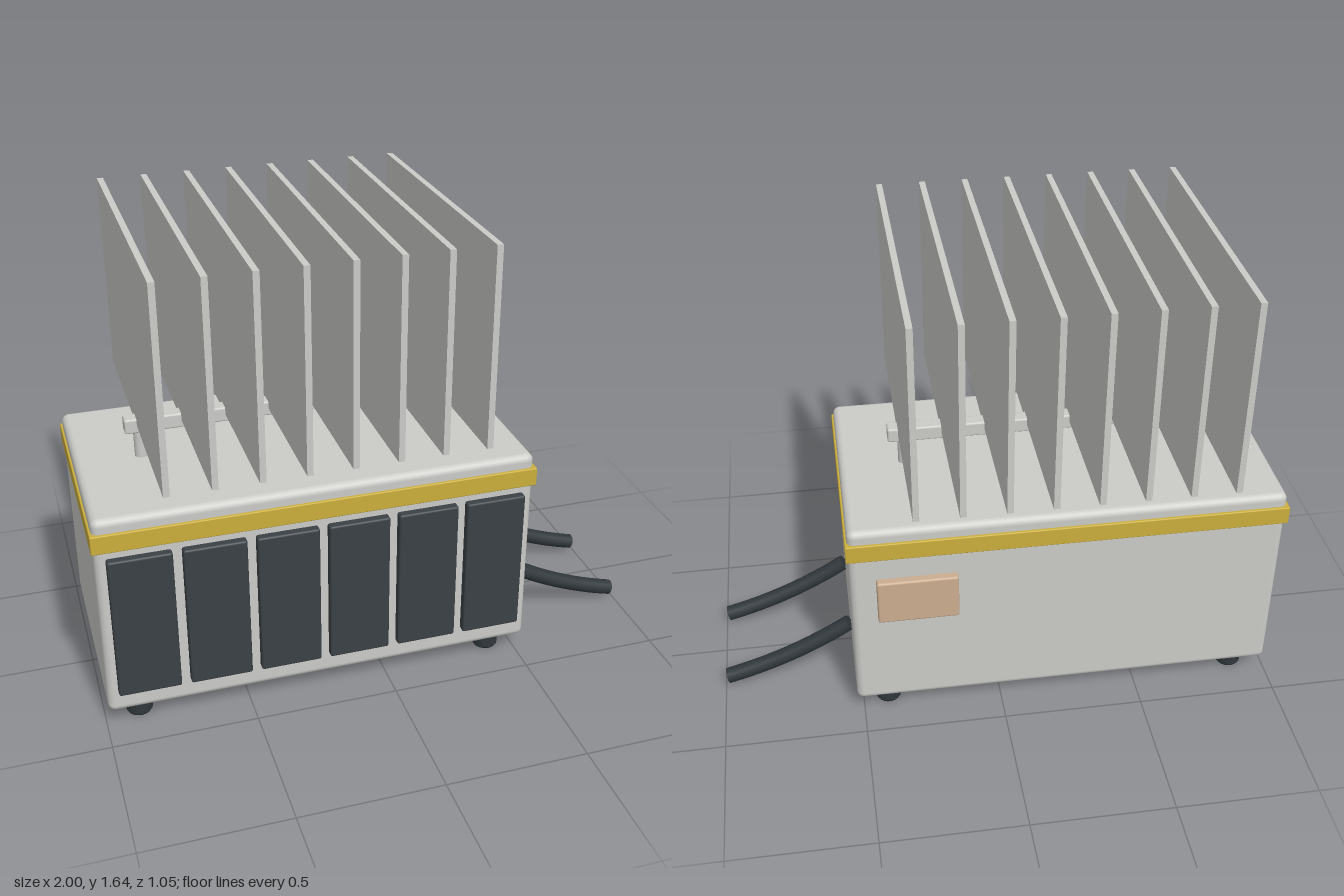
import * as THREE from 'three';
import { RoundedBoxGeometry } from 'three/addons/geometries/RoundedBoxGeometry.js';

const material = (name, color) => {
  const m = new THREE.MeshStandardMaterial({ color });
  m.name = name;
  return m;
};

export function createModel() {
  const grey = material('light grey', 0xcbcbc8);
  const gold = material('gold', 0xcbae3c);
  const charcoal = material('charcoal', 0x3b4145);
  const black = material('dark rubber', 0x30373b);
  const tan = material('tan', 0xcbad90);

  const model = new THREE.Group();
  model.name = 'transformer';

  const add = (name, geometry, mat, x = 0, y = 0, z = 0) => {
    const mesh = new THREE.Mesh(geometry, mat);
    mesh.name = name;
    mesh.position.set(x, y, z);
    model.add(mesh);
    return mesh;
  };
  const rounded = (w, h, d, r) => new RoundedBoxGeometry(w, h, d, 3, r);

  // Cabinet and the band around it
  const cx = -0.2335;
  add('cabinet', rounded(1.515, 0.75, 0.81, 0.025), grey, cx, 0.44, 0);
  add('band', rounded(1.53, 0.067, 0.83, 0.004), gold, cx, 0.734, 0);

  // Six front panels
  const panel = rounded(0.213, 0.528, 0.04, 0.008);
  for (let i = 0; i < 6; i++) {
    add(`frontPanel${i + 1}`, panel, charcoal, -0.848 + i * 0.2455, 0.411, 0.413);
  }

  // Plate on the back
  add('backPlate', rounded(0.28, 0.172, 0.04, 0.008), tan, 0.294, 0.529, -0.414);

  // Feet with a small bevel at the bottom
  const foot = new THREE.CylinderGeometry(0.046, 0.046, 0.062, 24);
  const toe = new THREE.CylinderGeometry(0.046, 0.041, 0.008, 24);
  for (const x of [-0.88, 0.408]) {
    for (const z of [-0.322, 0.322]) {
      add('foot', foot, black, x, 0.039, z);
      add('footBevel', toe, black, x, 0.004, z);
    }
  }

  // Rail on two posts
  const post = new THREE.CylinderGeometry(0.022, 0.022, 0.12, 24);
  for (const x of [-0.763, 0.291]) add('post', post, grey, x, 0.86, 0);
  add('rail', rounded(1.163, 0.053, 0.053, 0.007), grey, cx, 0.937, 0);

  // Row of upright fins
  const fin = new THREE.BoxGeometry(0.021, 0.699, 1.054);
  for (let i = 0; i < 8; i++) {
    add(`fin${i + 1}`, fin, grey, -0.763 + i * 0.152, 1.2875, 0);
  }

  // Two drooping cables with flat ends
  const path = new THREE.QuadraticBezierCurve3(
    new THREE.Vector3(0.53, 0.237, 0),
    new THREE.Vector3(0.745, 0.097, 0),
    new THREE.Vector3(0.99, 0.034, 0)
  );
  const tube = new THREE.TubeGeometry(path, 24, 0.0285, 16);
  const cap = new THREE.CircleGeometry(0.0285, 16);
  for (const z of [-0.176, 0.176]) {
    add('cable', tube, black, 0, 0, z);
    for (const t of [0, 1]) {
      const end = path.getPoint(t);
      const out = path.getTangent(t).multiplyScalar(t ? 1 : -1);
      const mesh = add('cableEnd', cap, black, end.x, end.y, z);
      mesh.quaternion.setFromUnitVectors(new THREE.Vector3(0, 0, 1), out);
    }
  }

  return model;
}
